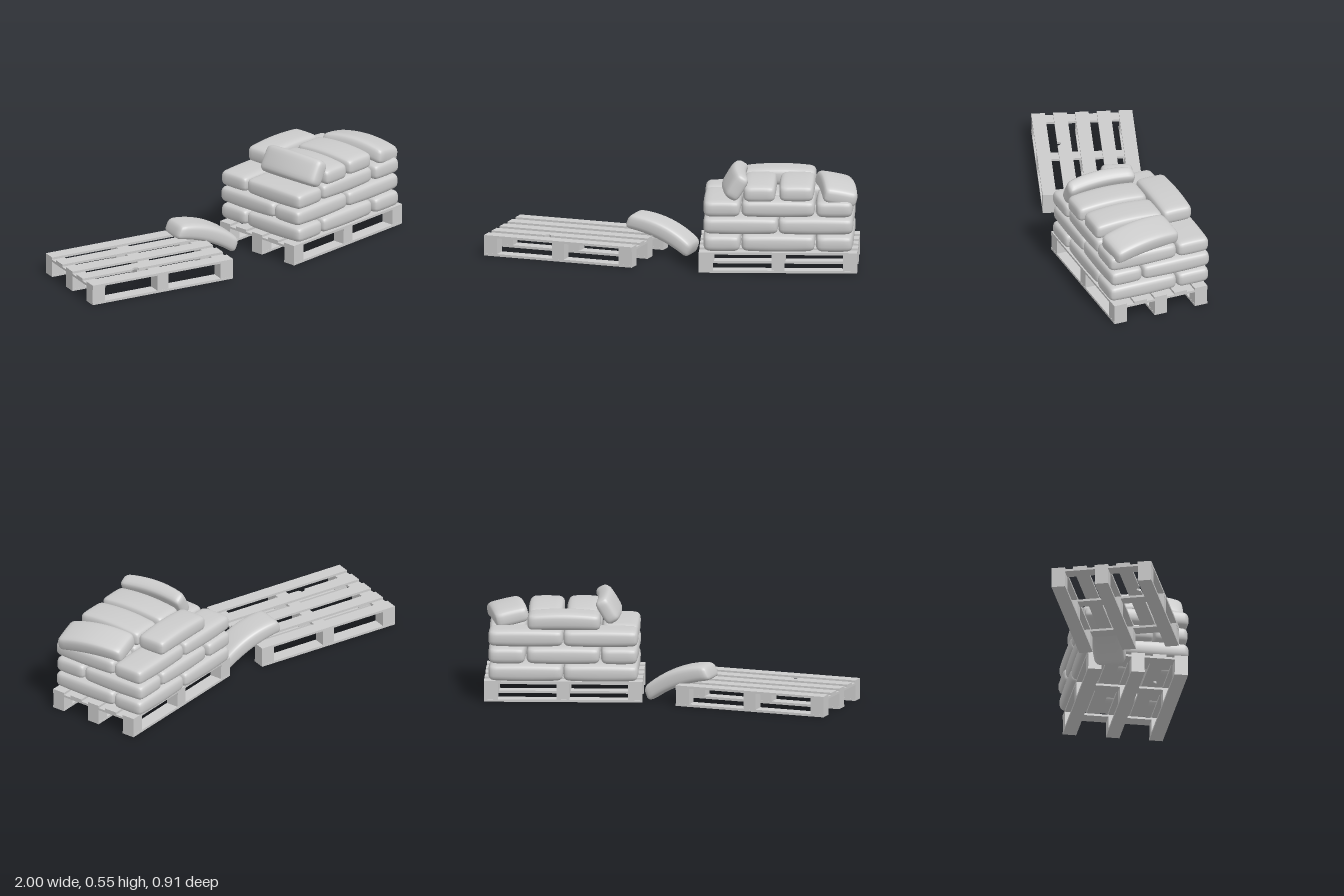
import * as THREE from 'three';
import { mergeVertices } from 'three/addons/utils/BufferGeometryUtils.js';

const material = new THREE.MeshStandardMaterial({ color: 0xcccccc });
const L = 0.39, W = 0.19, H = 0.096; // sack length, width, thickness

// Rounded, slightly pillowed sack lying along x; bend droops both ends.
function sackGeometry(l, w, h, bend, alongZ) {
  let g = new THREE.BoxGeometry(2, 2, 2, 18, 8, 12);
  g.deleteAttribute('uv');
  g.deleteAttribute('normal');
  g = mergeVertices(g, 1e-4);
  const pos = g.attributes.position;
  const half = new THREE.Vector3(l / 2, h / 2, w / 2);
  const r = 0.032;
  const inner = half.clone().subScalar(r);
  const p = new THREE.Vector3(), c = new THREE.Vector3();
  for (let i = 0; i < pos.count; i++) {
    p.fromBufferAttribute(pos, i);
    // crowd the grid lines towards the edges, then round them
    p.set(...p.toArray().map(t => Math.sin(t * Math.PI / 2))).multiply(half);
    c.copy(p).clamp(inner.clone().negate(), inner);
    p.sub(c).setLength(r).add(c);
    const u = p.x / half.x, v = p.z / half.z;
    p.y *= 1 - 0.1 * u * u - 0.08 * v * v;
    p.z *= 1 - 0.04 * u * u;
    p.y -= bend * p.x * p.x;
    pos.setXYZ(i, p.x, p.y, p.z);
  }
  if (alongZ) g.rotateY(Math.PI / 2);
  g.computeVertexNormals();
  return g;
}

function sack(name, x, y, z, { alongZ = false, l = L, w = W, h = H, bend = 0, rot = [0, 0, 0] } = {}) {
  const m = new THREE.Mesh(sackGeometry(l, w, h, bend, alongZ), material);
  m.name = name;
  m.position.set(x, y, z);
  m.rotation.set(...rot);
  return m;
}

function createPallet(name) {
  const pallet = new THREE.Group();
  pallet.name = name;
  const len = 0.845, wid = 0.54, plank = 0.073;
  const box = (n, sx, sy, sz, x, y, z) => {
    const m = new THREE.Mesh(new THREE.BoxGeometry(sx, sy, sz), material);
    m.name = n;
    m.position.set(x, y, z);
    pallet.add(m);
  };
  const ends = [-1, 0, 1];
  // bottom runners with three blocks each
  for (const k of ends) {
    const z = k * (wid - plank) / 2;
    box('bottomRunner', len, 0.013, plank, 0, 0.0065, z);
    for (const j of ends) box('block', j ? 0.075 : 0.068, 0.074, plank - 0.002, j * (len - 0.075) / 2, 0.05, z);
  }
  // cross boards
  for (const j of ends) box('crossBoard', j ? 0.075 : 0.068, 0.012, wid, j * (len - 0.075) / 2, 0.093, 0);
  // deck boards, one with a chipped edge
  for (let i = 0; i < 5; i++) {
    const z = (i - 2) * (wid - plank) / 4;
    if (i !== 3) {
      box('deckBoard', len, 0.0125, plank, 0, 0.10525, z);
      continue;
    }
    const a = len / 2, b = plank / 2;
    const s = new THREE.Shape([[-a, -b], [-0.122, -b], [-0.115, -b + 0.014], [-0.1, -b + 0.02],
      [-0.088, -b + 0.01], [-0.083, -b], [a, -b], [a, b], [-a, b]].map(q => new THREE.Vector2(...q)));
    const g = new THREE.ExtrudeGeometry(s, { depth: 0.0125, bevelEnabled: false });
    g.rotateX(-Math.PI / 2);
    const m = new THREE.Mesh(g, material);
    m.name = 'chippedDeckBoard';
    m.position.set(0, 0.099, z);
    pallet.add(m);
  }
  return pallet;
}

export function createModel() {
  const model = new THREE.Group();
  model.name = 'palletsAndSacks';

  const loaded = createPallet('loadedPallet');
  loaded.position.set(0.577, 0, 0.165);
  const empty = createPallet('emptyPallet');
  empty.position.set(-0.515, 0, -0.068);
  empty.rotation.y = -0.338;
  model.add(loaded, empty);

  // three interlocked layers of six sacks, the middle one turned around
  const stack = new THREE.Group();
  stack.name = 'sackStack';
  const cx = 0.577, cz = 0.155;
  for (let layer = 0; layer < 3; layer++) {
    const f = layer === 1 ? -1 : 1;
    const y = 0.159 + layer * 0.094;
    for (const s of [-1, 1]) {
      stack.add(
        sack('endSack', cx + s * 0.3, y, cz + f * 0.096, { alongZ: true, w: 0.2 }),
        sack('middleSack', cx, y, cz + f * (0.096 + s * 0.0965)),
        sack('rowSack', cx + s * 0.2, y, cz - f * 0.193, { l: 0.398 }),
      );
    }
  }

  // loose top layer
  stack.add(
    sack('topBackSack', 0.573, 0.438, -0.037, { w: 0.175, bend: 0.2 }),
    sack('topInnerSack', 0.477, 0.44, 0.25, { alongZ: true, w: 0.175, bend: 0.3, l: 0.4 }),
    sack('topMiddleSack', 0.675, 0.44, 0.243, { alongZ: true, w: 0.188, bend: 0.3 }),
    sack('topSlippingSack', 0.887, 0.437, 0.235, { alongZ: true, bend: 0.6, rot: [0.05, 0.15, -0.22] }),
    sack('topLeaningSack', 0.337, 0.472, 0.245, { alongZ: true, w: 0.152, h: 0.09, bend: 0.6, rot: [0, 0.03, 1.03] }),
  );
  model.add(stack);

  // sack fallen between the pallets, drooping off the empty one
  model.add(sack('fallenSack', -0.042, 0.132, -0.043, { w: 0.175, l: 0.385, bend: 0.85, rot: [0, -0.33, -0.38] }));
  return model;
}
